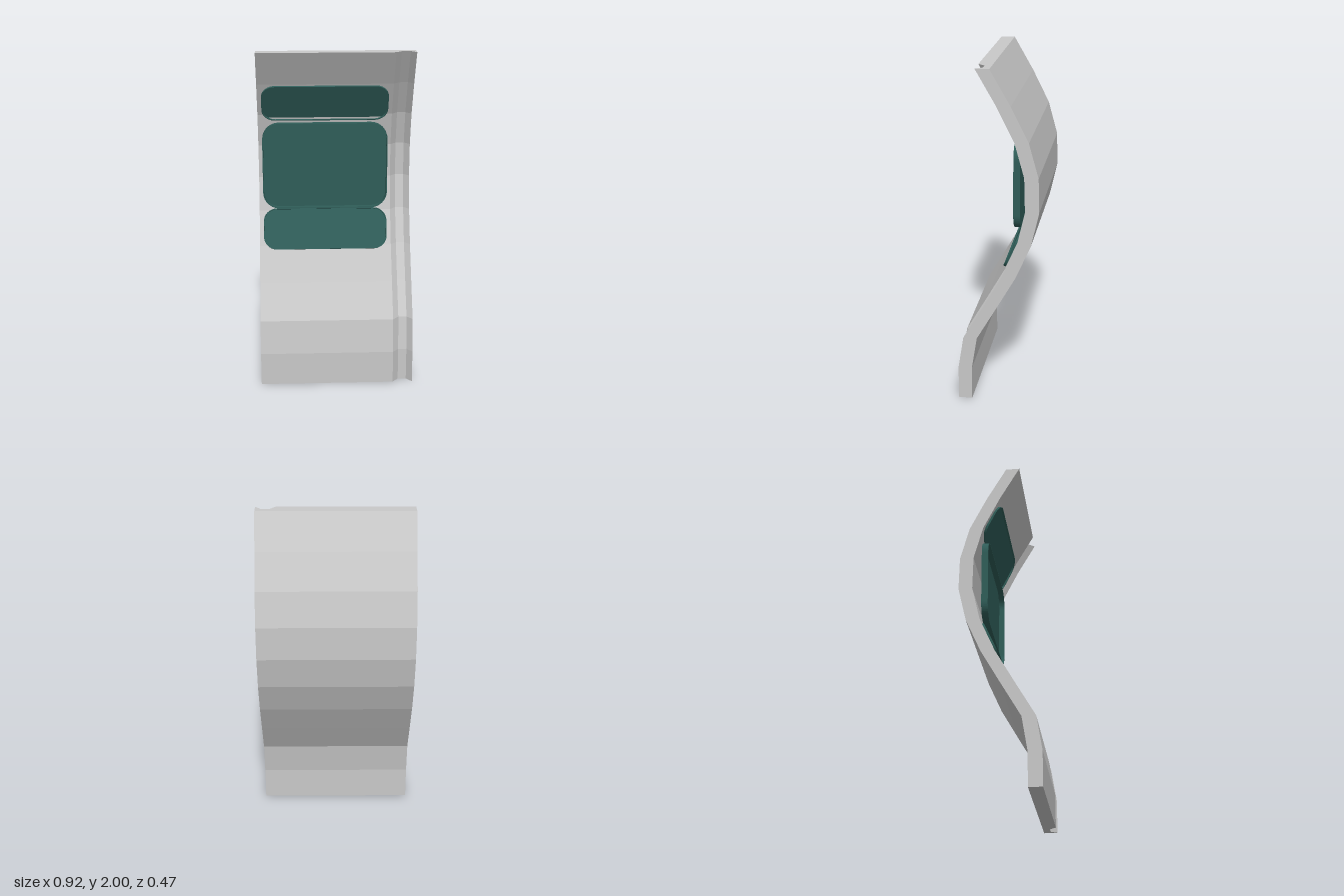
import * as THREE from 'three';

const casing = new THREE.MeshStandardMaterial({ color: 0xc8c8c8 });
casing.name = 'light grey casing';
const glass = new THREE.MeshStandardMaterial({ color: 0x2f5d58 });
glass.name = 'dark teal panel';

// front surface depth at each 0.2 of height
const frontZ = [0.237, 0.237, 0.205, 0.09, -0.023, -0.11, -0.155, -0.15, -0.095, 0.005, 0.12];

// Curved slab: a grooved cross-section swept upwards, then bent along z
function curvedSlab() {
  const section = [
    [-0.46, 0], [0.34, 0], [0.375, -0.04], [0.425, -0.04], [0.458, 0],
    [0.458, -0.08], [-0.46, -0.08],
  ];
  const shape = new THREE.Shape(section.map(([x, z]) => new THREE.Vector2(x, -z)));
  const geo = new THREE.ExtrudeGeometry(shape, { depth: 2, steps: 10, bevelEnabled: false });
  geo.rotateX(-Math.PI / 2);
  const p = geo.attributes.position;
  for (let i = 0; i < p.count; i++) {
    p.setZ(i, p.getZ(i) + frontZ[Math.round(p.getY(i) * 5)]);
  }
  geo.computeVertexNormals();
  const mesh = new THREE.Mesh(geo, casing);
  mesh.name = 'curvedBackSlab';
  return mesh;
}

// Rounded rectangle centred on the origin
function roundedRect(target, w, h, r) {
  const x = w / 2 - r, y = h / 2 - r;
  target.absarc(x, y, r, 0, Math.PI / 2);
  target.absarc(-x, y, r, Math.PI / 2, Math.PI);
  target.absarc(-x, -y, r, Math.PI, Math.PI * 1.5);
  target.absarc(x, -y, r, Math.PI * 1.5, Math.PI * 2);
  target.closePath();
  return target;
}

// Shallow tray: floor plate with a thin raised rim; its open front edge is at local z = 0
function panel(name, w, h, r, depth) {
  const group = new THREE.Group();
  group.name = name;
  const lip = 0.005;
  const ring = roundedRect(new THREE.Shape(), w, h, r);
  ring.holes.push(roundedRect(new THREE.Path(), w - 2 * lip, h - 2 * lip, r - lip));
  const rim = new THREE.Mesh(
    new THREE.ExtrudeGeometry(ring, { depth, bevelEnabled: false, curveSegments: 8 }), glass);
  rim.name = name + 'Rim';
  const floor = new THREE.Mesh(
    new THREE.ExtrudeGeometry(roundedRect(new THREE.Shape(), w - lip, h - lip, r - lip / 2),
      { depth: 0.004, bevelEnabled: false, curveSegments: 8 }), glass);
  floor.name = name + 'Floor';
  rim.position.z = floor.position.z = -depth;
  group.add(rim, floor);
  return group;
}

export function createModel() {
  const model = new THREE.Group();
  model.name = 'curvedConsole';
  model.add(curvedSlab());

  // Three panels: name, bottom [y, z], top [y, z], corner radius, depth
  const panels = [
    ['upperPanel', [1.563, -0.098], [1.785, 0.01], 0.08, 0.014],
    ['middlePanel', [1.025, -0.068], [1.55, -0.068], 0.1, 0.038],
    ['lowerPanel', [0.785, 0.0], [1.015, -0.102], 0.08, 0.014],
  ];
  for (const [name, [y0, z0], [y1, z1], r, depth] of panels) {
    const part = panel(name, 0.75, Math.hypot(y1 - y0, z1 - z0), r, depth);
    part.position.set(-0.06, (y0 + y1) / 2, (z0 + z1) / 2);
    part.rotation.x = Math.atan2(z1 - z0, y1 - y0);
    model.add(part);
  }
  return model;
}
